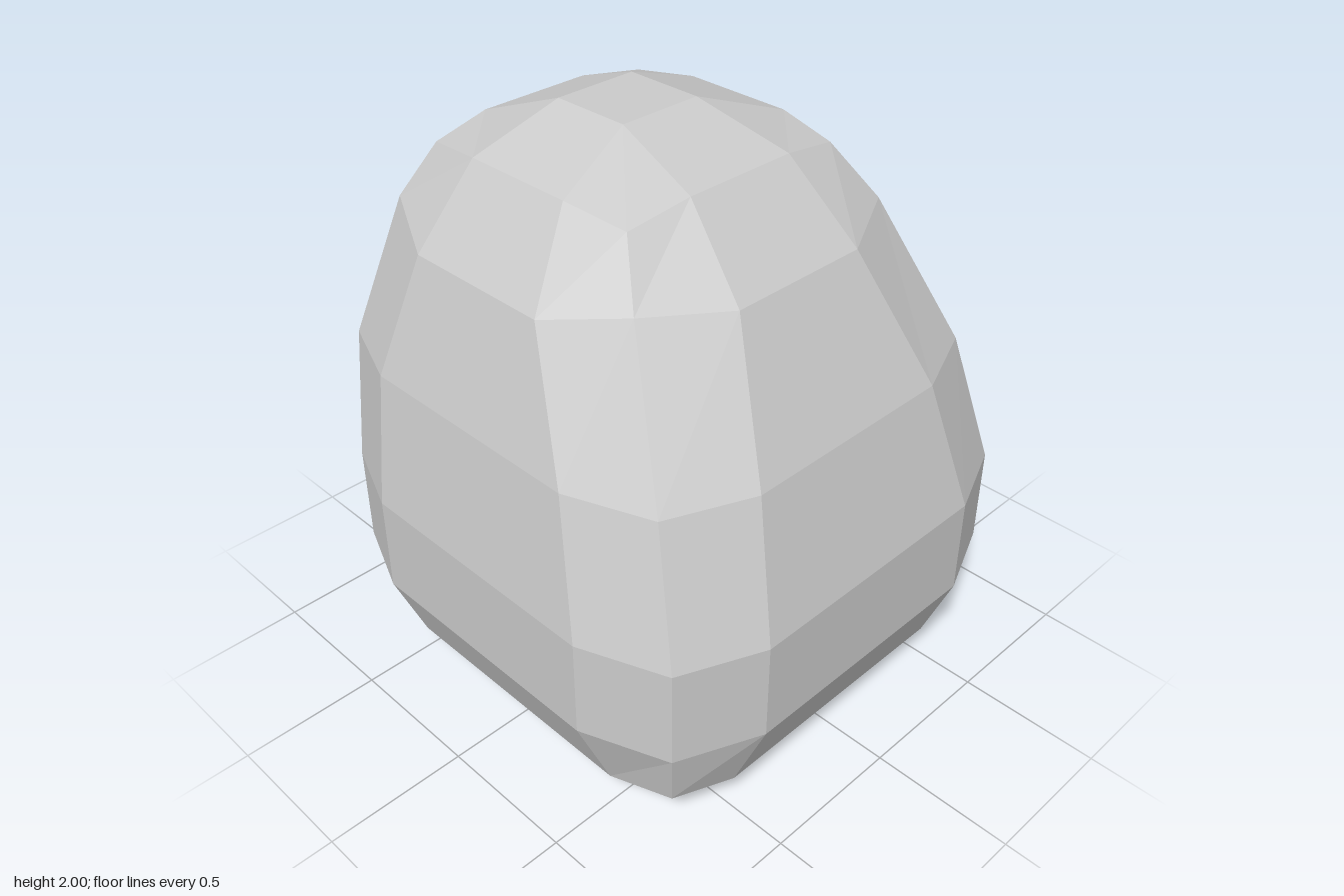
import * as THREE from 'three';

// Rings from bottom to top. y values: corner, front, side, back.
// cx / ix: half width at the corner and at the inner front/back points; xs: side bulge.
// z values run back to front: zc corner pair, zs inner side pair, ze front/back bulge pair.
const rings = [
  { y: [0.17, 0.12, 0.12, 0.12], cx: 0.72, ix: 0.49, xs: 0.765, zc: [-0.70, 0.735], zs: [-0.465, 0.50], ze: [-0.75, 0.785] },
  { y: [0.40, 0.40, 0.40, 0.40], cx: 0.765, ix: 0.48, xs: 0.88, zc: [-0.745, 0.78], zs: [-0.465, 0.485], ze: [-0.865, 0.90] },
  { y: [0.75, 0.75, 0.75, 0.75], cx: 0.765, ix: 0.48, xs: 0.88, zc: [-0.745, 0.78], zs: [-0.465, 0.485], ze: [-0.865, 0.90] },
  { y: [1.20, 1.20, 1.20, 1.20], cx: 0.69, ix: 0.40, xs: 0.80, zc: [-0.78, 0.65], zs: [-0.50, 0.36], ze: [-0.90, 0.77] },
  { y: [1.68, 1.65, 1.62, 1.62], cx: 0.535, ix: 0.26, xs: 0.67, zc: [-0.68, 0.40], zs: [-0.41, 0.135], ze: [-0.81, 0.54] },
  { y: [1.86, 1.90, 1.89, 1.89], cx: 0.435, ix: 0.21, xs: 0.47, zc: [-0.595, 0.27], zs: [-0.365, 0.045], ze: [-0.63, 0.295] },
];
// Centre panels that close the bottom and the top
const caps = {
  0: { y: 0, x: 0.485, z: [-0.465, 0.50] },
  5: { y: 2, x: 0.155, z: [-0.33, 0.04 - 0.08] },
};

// Moves a grid point (i, j, k) of the box onto the boulder
function place(i, j, k) {
  const r = rings[j];
  const sx = i < 1.5 ? -1 : 1;
  const f = k < 1.5 ? 0 : 1;
  const edgeX = i === 0 || i === 3;
  const edgeZ = k === 0 || k === 3;
  if (edgeX && edgeZ) return [sx * r.cx, r.y[0], r.zc[f]];
  if (edgeX) return [sx * r.xs, r.y[2], r.zs[f]];
  if (edgeZ) return [sx * r.ix, r.y[f ? 1 : 3], r.ze[f]];
  const c = caps[j];
  return [sx * c.x, c.y, c.z[f]];
}

export function createModel() {
  const group = new THREE.Group();
  group.name = 'boulder';

  // Box grid reshaped into a faceted, rounded stone
  const box = new THREE.BoxGeometry(3, 5, 3, 3, 5, 3);
  const pos = box.attributes.position;
  for (let n = 0; n < pos.count; n++) {
    const i = Math.round(pos.getX(n) + 1.5);
    const j = Math.round(pos.getY(n) + 2.5);
    const k = Math.round(pos.getZ(n) + 1.5);
    pos.setXYZ(n, ...place(i, j, k));
  }
  const geometry = box.toNonIndexed();
  geometry.computeVertexNormals();

  const material = new THREE.MeshStandardMaterial({ color: 0xcccccc, flatShading: true });
  const stone = new THREE.Mesh(geometry, material);
  stone.name = 'stone';
  group.add(stone);
  return group;
}
